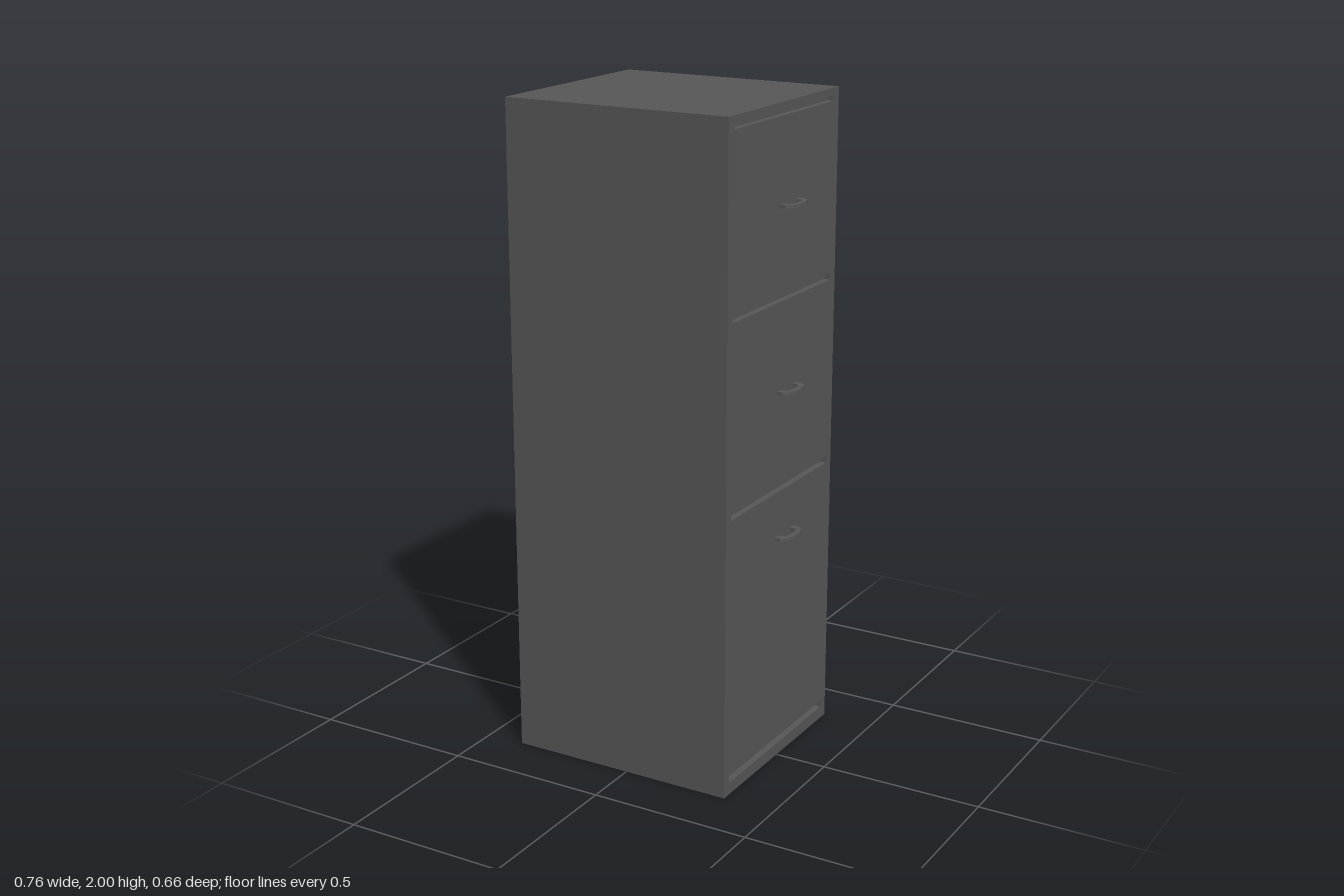
import * as THREE from 'three';

const BACK = -0.381, FRONT = 0.337, HALF_Z = 0.329, HEIGHT = 2, GROOVE_DEPTH = 0.02;

function rectangle(PathType, halfWidth, y0, y1) {
  const p = new PathType();
  p.moveTo(-halfWidth, y0);
  p.lineTo(halfWidth, y0);
  p.lineTo(halfWidth, y1);
  p.lineTo(-halfWidth, y1);
  p.closePath();
  return p;
}

export function createModel() {
  const group = new THREE.Group();
  const grey = new THREE.MeshStandardMaterial({ color: 0x585858 });
  grey.name = 'dark grey';

  const add = (name, geometry) => {
    const mesh = new THREE.Mesh(geometry, grey);
    mesh.name = name;
    group.add(mesh);
    return mesh;
  };

  // Cabinet body behind the drawer face
  const coreEnd = FRONT - GROOVE_DEPTH;
  const body = add('cabinetBody', new THREE.BoxGeometry(coreEnd - BACK, HEIGHT, HALF_Z * 2));
  body.position.set((coreEnd + BACK) / 2, HEIGHT / 2, 0);

  // Drawer face on the +x side, with recessed horizontal grooves
  const face = rectangle(THREE.Shape, HALF_Z, 0, HEIGHT);
  for (const [y0, y1] of [[0.038, 0.061], [0.857, 0.879], [1.431, 1.453], [1.962, 1.978]]) {
    face.holes.push(rectangle(THREE.Path, 0.299, y0, y1));
  }
  const faceGeometry = new THREE.ExtrudeGeometry(face, { depth: GROOVE_DEPTH, bevelEnabled: false });
  faceGeometry.rotateY(Math.PI / 2);
  add('drawerFace', faceGeometry).position.x = coreEnd;

  // Flat faceted bow handles: outline in x and z, extruded in height
  const thickness = 0.01;
  const outline = [
    [FRONT, -0.088], [0.355, -0.088], [0.371, -0.076], [0.38, -0.046],
    [0.38, -0.011], [0.371, 0.019], [0.355, 0.032], [FRONT, 0.032],
    [FRONT, 0.009], [0.356, 0.009], [0.364, -0.009], [0.364, -0.048],
    [0.356, -0.065], [FRONT, -0.065],
  ].map(([x, z]) => new THREE.Vector2(x, z));
  const handleGeometry = new THREE.ExtrudeGeometry(new THREE.Shape(outline), {
    depth: thickness, bevelEnabled: false,
  });
  handleGeometry.rotateX(Math.PI / 2);
  handleGeometry.translate(0, thickness / 2, 0);
  for (const [name, y] of [['upperHandle', 1.709], ['middleHandle', 1.163], ['lowerHandle', 0.715]]) {
    add(name, handleGeometry).position.y = y;
  }

  return group;
}
